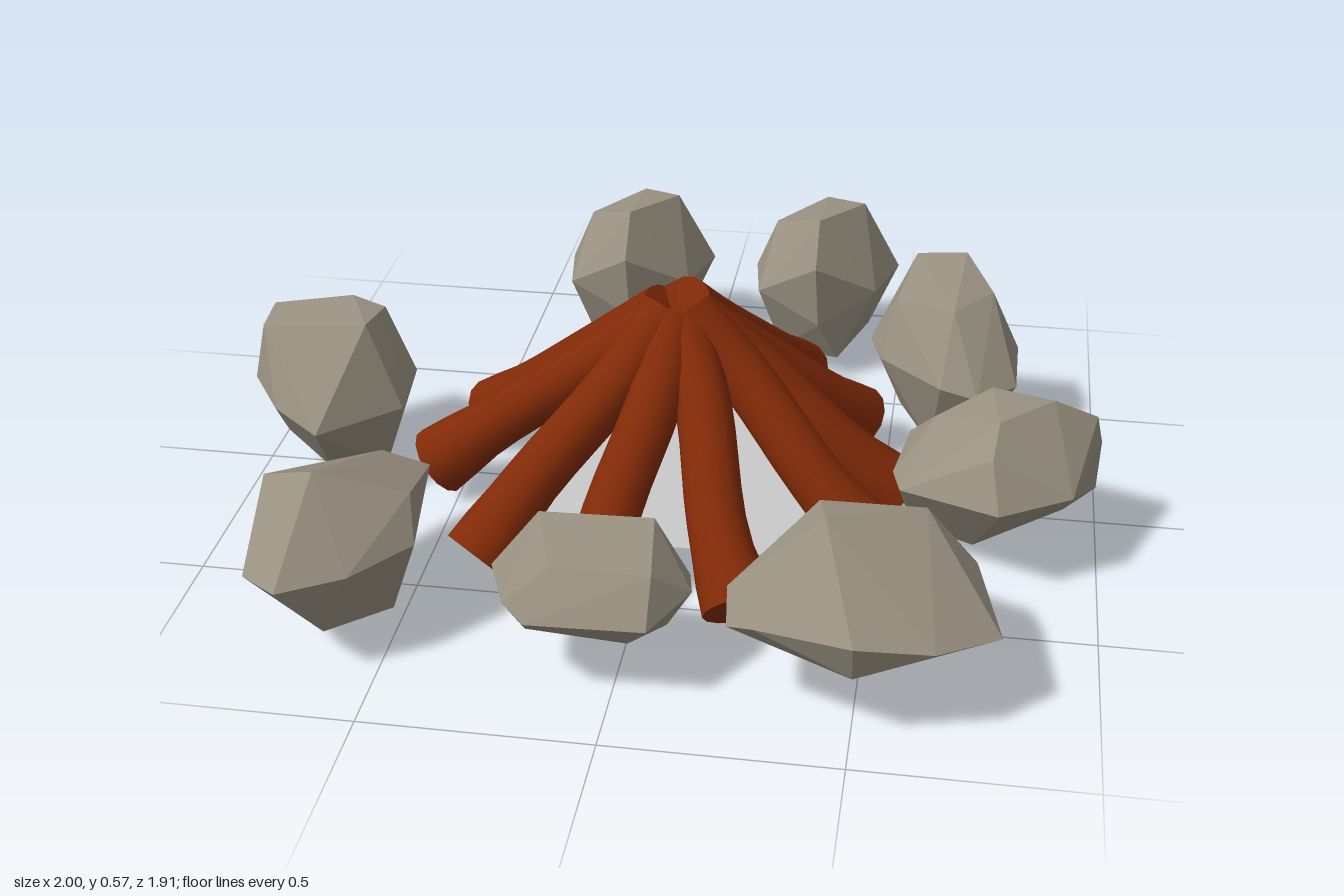
import * as THREE from 'three';
import { ConvexGeometry } from 'three/addons/geometries/ConvexGeometry.js';

const material = (name, color, extra = {}) => {
  const m = new THREE.MeshStandardMaterial({ color, ...extra });
  m.name = name;
  return m;
};

// Faceted stone: hull around its top corners, waist outline and bottom corners, each [x, y, z]
function makeRock(name, mat, top, waist, bottom) {
  const pts = [...top, ...waist, ...bottom].map((p) => new THREE.Vector3(...p));
  const mesh = new THREE.Mesh(new ConvexGeometry(pts), mat);
  mesh.name = name;
  return mesh;
}

// Crooked log with a flared foot, leaning from foot to tip
function makeLog(mat, foot, tip, bend) {
  const dir = tip.clone().sub(foot);
  const length = dir.length();
  dir.normalize();
  const geo = new THREE.CylinderGeometry(1, 1, 1, 14, 10);
  const pos = geo.attributes.position;
  for (let i = 0; i < pos.count; i++) {
    const t = pos.getY(i) + 0.5;
    const r = 0.066 + 0.018 * Math.exp(-t * t * 45) - 0.004 * t;
    const shift = bend * Math.sin(t * Math.PI * 2);
    pos.setXYZ(i, pos.getX(i) * r + shift, t * length, pos.getZ(i) * r);
  }
  geo.computeVertexNormals();
  const side = new THREE.Vector3(0, 1, 0).cross(dir).normalize();
  const frame = new THREE.Matrix4().makeBasis(side, dir, side.clone().cross(dir));
  geo.applyMatrix4(frame.setPosition(foot));
  const mesh = new THREE.Mesh(geo, mat);
  mesh.name = 'log';
  return mesh;
}

export function createModel() {
  const group = new THREE.Group();
  group.name = 'campfire';
  const stone = material('stone', 0x989080, { flatShading: true });
  const wood = material('wood', 0x812a07);
  const ash = material('ash', 0xcacaca, { side: THREE.DoubleSide });

  // Ash sheet under the logs
  const sheet = new THREE.Mesh(new THREE.PlaneGeometry(0.705, 0.705), ash);
  sheet.name = 'ashSheet';
  sheet.rotation.x = -Math.PI / 2;
  sheet.position.set(0.052, 0.12, 0.073);
  group.add(sheet);

  // Logs leaning together: foot x, foot z
  const logs = new THREE.Group();
  logs.name = 'logs';
  const feet = [
    [-0.25, -0.45], [0.03, -0.46], [0.25, -0.49], [0.42, -0.27], [0.54, 0.07], [0.5, 0.3],
    [0.24, 0.6], [-0.08, 0.6], [-0.36, 0.49], [-0.55, 0.09], [-0.47, -0.17],
  ];
  feet.forEach(([x, z], i) => {
    const tip = new THREE.Vector3(0.02 + x * 0.06, 0.505 + 0.012 * (i % 3), 0.065 + z * 0.06);
    logs.add(makeLog(wood, new THREE.Vector3(x, 0.09, z), tip, 0.013));
  });
  group.add(logs);

  // Ring of stones
  const rocks = new THREE.Group();
  rocks.name = 'stoneRing';
  rocks.add(
    makeRock('leftStone', stone,
      [[-0.98, 0.4, -0.07], [-0.97, 0.4, 0.05], [-0.78, 0.44, -0.06], [-0.7, 0.42, -0.05], [-0.72, 0.42, 0.05]],
      [[-0.8, 0.27, -0.24], [-0.7, 0.27, -0.15], [-0.635, 0.25, -0.06], [-0.635, 0.22, 0.08],
        [-0.8, 0.22, 0.24], [-0.92, 0.24, 0.16], [-1, 0.26, 0.05], [-0.99, 0.23, -0.08]],
      [[-0.95, 0.09, 0], [-0.83, 0.03, 0.06], [-0.7, 0.03, 0.02], [-0.8, 0.05, -0.1]]),
    makeRock('frontLeftStone', stone,
      [[-0.77, 0.37, 0.66], [-0.65, 0.41, 0.7], [-0.46, 0.34, 0.64]],
      [[-0.62, 0.24, 0.31], [-0.5, 0.23, 0.34], [-0.44, 0.25, 0.7], [-0.55, 0.24, 0.83],
        [-0.68, 0.24, 0.91], [-0.77, 0.23, 0.84], [-0.785, 0.22, 0.68], [-0.7, 0.22, 0.48]],
      [[-0.75, 0.04, 0.6], [-0.6, 0.01, 0.55], [-0.52, 0.03, 0.62], [-0.62, 0.08, 0.8], [-0.55, 0.06, 0.43]]),
    makeRock('frontStone', stone,
      [[-0.17, 0.36, 0.7], [0.07, 0.36, 0.69], [-0.13, 0.29, 0.8], [0.08, 0.29, 0.8]],
      [[-0.275, 0.22, 0.7], [-0.2, 0.21, 0.65], [-0.05, 0.25, 0.63], [0.14, 0.21, 0.66],
        [0.155, 0.22, 0.74], [0.08, 0.2, 0.87], [-0.17, 0.2, 0.88], [-0.22, 0.23, 0.85]],
      [[-0.19, 0.12, 0.78], [-0.05, 0.08, 0.72], [0.1, 0.12, 0.72], [0.03, 0.12, 0.8]]),
    makeRock('frontRightStone', stone,
      [[0.42, 0.4, 0.7], [0.4, 0.38, 0.6], [0.62, 0.37, 0.58]],
      [[0.225, 0.23, 0.72], [0.33, 0.24, 0.55], [0.5, 0.2, 0.44], [0.6, 0.2, 0.435], [0.73, 0.24, 0.57],
        [0.79, 0.2, 0.78], [0.66, 0.23, 0.9], [0.5, 0.26, 0.95], [0.3, 0.26, 0.91], [0.24, 0.22, 0.85]],
      [[0.72, 0.11, 0.62], [0.57, 0.08, 0.5], [0.35, 0.13, 0.6], [0.5, 0.17, 0.92], [0.6, 0.1, 0.75]]),
    makeRock('rightStone', stone,
      [[0.76, 0.38, 0.22], [0.88, 0.38, 0.1], [0.74, 0.37, 0.04], [0.98, 0.32, 0.05], [0.62, 0.31, 0.08], [0.75, 0.33, 0.3]],
      [[0.53, 0.2, 0.16], [0.56, 0.22, 0], [0.7, 0.26, -0.09], [0.995, 0.25, 0.04],
        [0.99, 0.14, 0.06], [0.93, 0.23, 0.27], [0.77, 0.23, 0.37], [0.55, 0.2, 0.24]],
      [[0.75, 0.05, 0.07], [0.92, 0.1, 0.1], [0.58, 0.06, 0.15], [0.72, 0.06, 0.22]]),
    makeRock('backRightStone', stone,
      [[0.54, 0.47, -0.44], [0.66, 0.48, -0.44], [0.73, 0.41, -0.37], [0.5, 0.39, -0.34], [0.64, 0.39, -0.29]],
      [[0.44, 0.27, -0.36], [0.52, 0.29, -0.54], [0.6, 0.26, -0.57], [0.73, 0.25, -0.54], [0.8, 0.25, -0.4],
        [0.8, 0.22, -0.25], [0.71, 0.22, -0.165], [0.62, 0.24, -0.17], [0.47, 0.25, -0.29]],
      [[0.6, 0.04, -0.26], [0.7, 0.05, -0.25], [0.6, 0.08, -0.44], [0.72, 0.12, -0.48], [0.52, 0.1, -0.35]]),
  );

  // Two matching stones at the back
  for (const [name, dx, dz] of [['backStoneA', 0, 0], ['backStoneB', -0.49, 0.02]]) {
    const rock = makeRock(name, stone,
      [[0.28, 0.4, -0.91], [0.385, 0.43, -0.81], [0.28, 0.44, -0.66], [0.16, 0.38, -0.78]],
      [[0.11, 0.26, -0.76], [0.23, 0.25, -0.96], [0.39, 0.24, -0.92], [0.48, 0.25, -0.83],
        [0.43, 0.24, -0.68], [0.28, 0.34, -0.575], [0.29, 0.18, -0.58], [0.13, 0.25, -0.62]],
      [[0.3, 0.03, -0.77], [0.34, 0.07, -0.62], [0.19, 0.07, -0.66], [0.22, 0.13, -0.9],
        [0.36, 0.14, -0.92], [0.41, 0.1, -0.78]]);
    rock.position.set(dx, 0, dz);
    rocks.add(rock);
  }
  group.add(rocks);
  return group;
}
